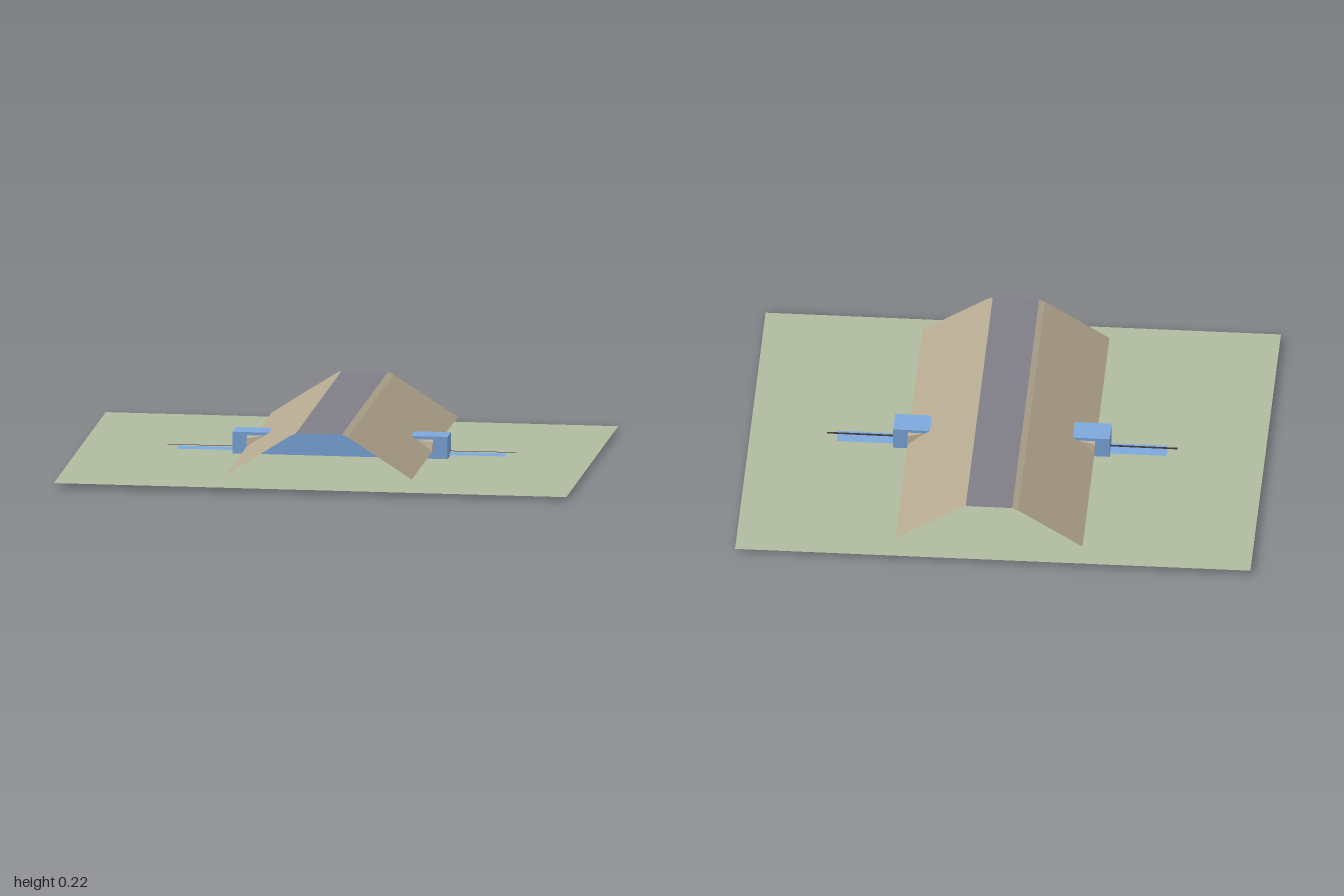
import * as THREE from 'three';

const mat = (color) => new THREE.MeshStandardMaterial({ color, flatShading: true, side: THREE.DoubleSide });

const EARTH = mat(0xb3a78f);
const GRASS = mat(0xafbb9f);
const ASPHALT = mat(0x7f7e88);
const CONCRETE = mat(0x7da9dd);
const DARK = mat(0x3c3434);

// Open surface from a list of triangles, each given by three [x, y, z] corners
function surface(name, material, triangles) {
  const g = new THREE.BufferGeometry();
  g.setAttribute('position', new THREE.Float32BufferAttribute(triangles.flat(2), 3));
  g.computeVertexNormals();
  const m = new THREE.Mesh(g, material);
  m.name = name;
  return m;
}

// Strip running along z between two points of a cross-section
function strip(name, material, [x0, y0], [x1, y1], z0, z1) {
  const a = [x0, y0, z0], b = [x0, y0, z1], c = [x1, y1, z1], d = [x1, y1, z0];
  return surface(name, material, [[a, b, c], [a, c, d]]);
}

export function createModel() {
  const model = new THREE.Group();
  const cx = 0.02; // centre line of the road

  // Gently sloping ground sheet
  model.add(strip('ground', GRASS, [-1, 0.018], [1, 0.01], -0.775, 0.77));

  // Road on an open embankment
  const zBack = -0.705, zFront = 0.66;
  model.add(strip('road', ASPHALT, [cx - 0.09, 0.215], [cx + 0.09, 0.215], zBack, zFront));
  for (const s of [-1, 1]) {
    const edge = [cx + s * 0.09, 0.215];
    const brk = [cx + s * 0.113, 0.205];
    const toe = [cx + s * 0.363, 0.045];
    const order = (p, q) => (s > 0 ? [p, q] : [q, p]);
    model.add(strip('shoulder', EARTH, ...order(edge, brk), zBack, zFront));
    model.add(strip('embankmentSlope', EARTH, ...order(brk, toe), zBack, zFront));
  }

  // Culvert box passing under the embankment
  const zc = -0.022;
  const box = new THREE.Mesh(new THREE.BoxGeometry(0.84, 0.1, 0.102), CONCRETE);
  box.position.set(cx, 0.05, zc);
  box.name = 'culvert';
  model.add(box);

  for (const s of [-1, 1]) {
    // Channel apron outside each mouth
    const xs = [cx + s * 0.42, cx + s * 0.64].sort((a, b) => a - b);
    model.add(strip('channel', CONCRETE, [xs[0], 0.024], [xs[1], 0.024], -0.062, 0.005));

    // Small wedges where the box leaves the slope
    for (const t of [-1, 1]) {
      const p = (x, y, z) => [cx + s * x, y, zc + t * z];
      const foot = p(0.363, 0.045, 0.07), top = p(0.363, 0.078, 0.06);
      const inner = p(0.298, 0.088, 0.052), wall = p(0.363, 0.088, 0.051);
      const base = p(0.363, 0.045, 0.051);
      model.add(surface('wingWall', EARTH, [
        [foot, top, inner], [top, wall, inner], [foot, base, wall], [foot, wall, top],
      ]));
    }
  }

  // Thin flow line along the culvert axis
  model.add(strip('flowLine', DARK, [-0.66, 0.035], [0.7, 0.035], -0.031, -0.02));

  return model;
}
